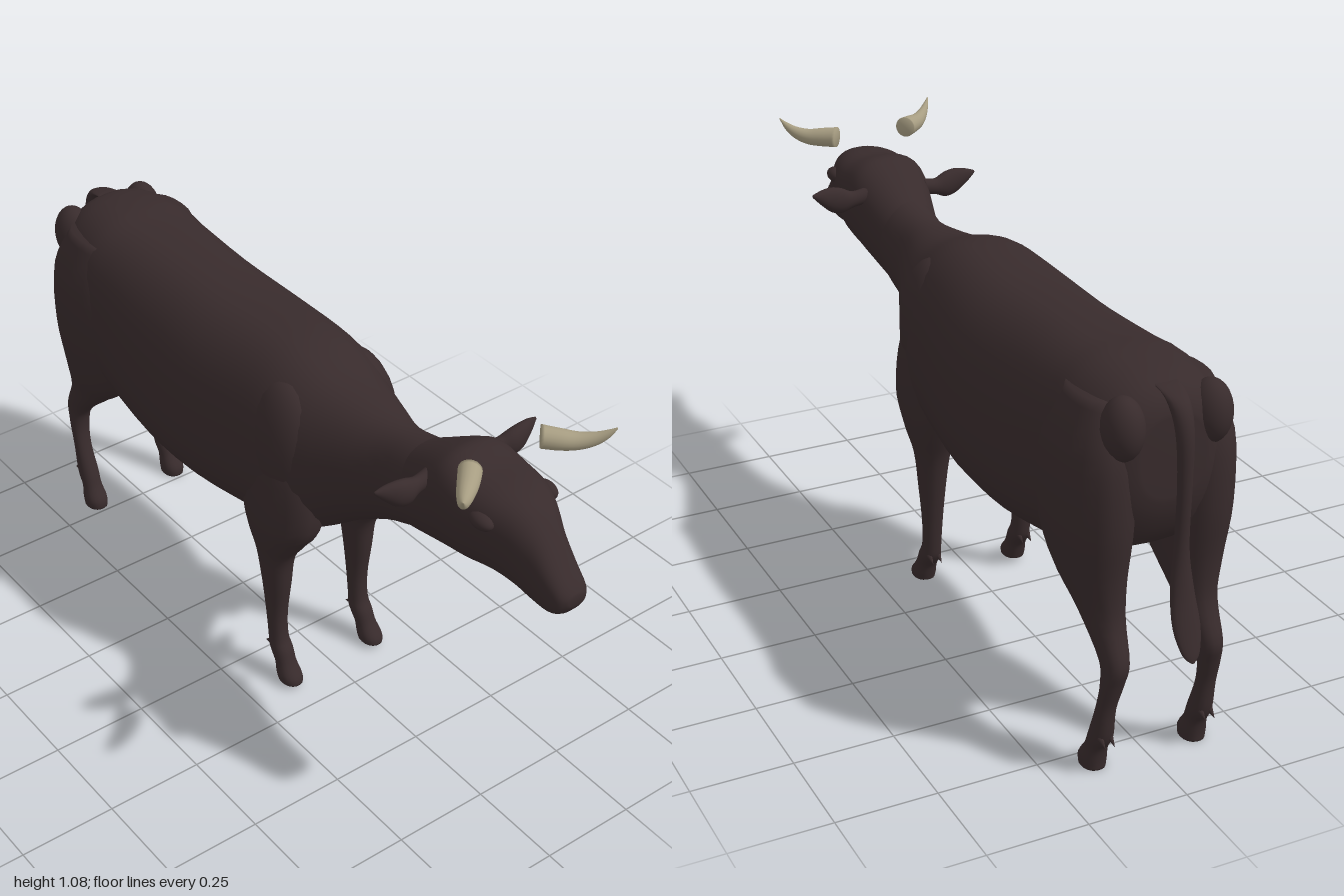
import * as THREE from 'three';

const hide = new THREE.MeshStandardMaterial({ name: 'darkHide', color: 0x382b2c });
const horn = new THREE.MeshStandardMaterial({ name: 'hornBone', color: 0xa79d82 });

const X = new THREE.Vector3(1, 0, 0), Y = new THREE.Vector3(0, 1, 0), Z = new THREE.Vector3(0, 0, 1);

// Catmull-Rom subdivision of rows of numbers
function smooth(rows, steps) {
  const out = [];
  for (let i = 0; i < rows.length - 1; i++) {
    const a = rows[Math.max(i - 1, 0)], b = rows[i], c = rows[i + 1], d = rows[Math.min(i + 2, rows.length - 1)];
    for (let s = 0; s < steps; s++) {
      const t = s / steps;
      out.push(b.map((v, j) => v + 0.5 * t * (c[j] - a[j] + t * (2 * a[j] - 5 * v + 4 * c[j] - d[j]
        + t * (3 * (v - c[j]) + d[j] - a[j])))));
    }
  }
  out.push(rows[rows.length - 1]);
  return out;
}

// Closed skin through rings: { c, u, v, a, b, p, k }, p squares the outline, k widens the +v side
function loft(rings, sides = 28) {
  const pos = [], idx = [];
  for (const { c, u, v, a, b, p = 1, k = 0 } of rings) {
    for (let i = 0; i < sides; i++) {
      const t = (i / sides) * Math.PI * 2, co = Math.cos(t), si = Math.sin(t);
      const e = Math.sign(co) * Math.abs(co) ** p * Math.max(a, 0.001) * (1 + k * si);
      const f = Math.sign(si) * Math.abs(si) ** p * Math.max(b, 0.001);
      pos.push(c.x + u.x * e + v.x * f, c.y + u.y * e + v.y * f, c.z + u.z * e + v.z * f);
    }
  }
  const n = rings.length, first = rings[0], last = rings[n - 1];
  const dir = last.c.clone().sub(first.c);
  const flip = first.u.clone().cross(first.v).dot(dir) < 0;
  const tri = (a, b, c) => (flip ? idx.push(a, c, b) : idx.push(a, b, c));
  pos.push(...first.c.toArray(), ...last.c.toArray());
  for (let i = 0; i < sides; i++) {
    const j = (i + 1) % sides;
    for (let r = 0; r < n - 1; r++) {
      const o = r * sides, q = o + sides;
      tri(o + i, o + j, q + j);
      tri(o + i, q + j, q + i);
    }
    tri(n * sides, j, i);
    tri(n * sides + 1, (n - 1) * sides + i, (n - 1) * sides + j);
  }
  const g = new THREE.BufferGeometry();
  g.setAttribute('position', new THREE.Float32BufferAttribute(pos, 3));
  g.setIndex(idx);
  g.computeVertexNormals();
  return g;
}

// Tapered limb along a path of [x, y, z, radiusAcross, radiusAlong] rows, rings kept in the u-v plane
const limb = (rows, u, v, steps = 4, p = 1) => loft(smooth(rows, steps).map(([x, y, z, a, b]) =>
  ({ c: new THREE.Vector3(x, y, z), u, v, a, b, p })), 18);

export function createModel() {
  const cow = new THREE.Group();
  cow.name = 'cow';
  const add = (name, geometry, material = hide) => {
    const m = new THREE.Mesh(geometry, material);
    m.name = name;
    cow.add(m);
    return m;
  };
  const blob = (name, x, y, z, sx, sy, sz) => {
    const m = add(name, new THREE.SphereGeometry(1, 20, 14));
    m.position.set(x, y, z);
    m.scale.set(sx, sy, sz);
    return m;
  };
  const skin = (rows) => loft(smooth(rows, 3).map(([z, lo, hi, a, p, k]) =>
    ({ c: new THREE.Vector3(0, (lo + hi) / 2, z), u: X, v: Y, a, b: (hi - lo) / 2, p, k })), 36);

  // Trunk and neck: [z, bottom, top, halfWidth, squareness, topWidening]
  add('bodyAndNeck', skin([
    [-0.885, 0.70, 0.89, 0.08, 0.85, 0],
    [-0.87, 0.64, 0.93, 0.12, 0.85, 0],
    [-0.82, 0.56, 0.965, 0.165, 0.8, 0],
    [-0.7, 0.50, 0.98, 0.195, 0.75, -0.05],
    [-0.6, 0.465, 0.972, 0.2, 0.75, -0.08],
    [-0.4, 0.43, 0.965, 0.21, 0.78, -0.14],
    [-0.2, 0.435, 0.962, 0.217, 0.78, -0.14],
    [0, 0.455, 0.972, 0.198, 0.78, -0.12],
    [0.1, 0.465, 0.962, 0.188, 0.8, -0.1],
    [0.2, 0.51, 0.93, 0.162, 0.85, -0.08],
    [0.3, 0.585, 0.914, 0.12, 0.9, 0],
    [0.4, 0.645, 0.91, 0.085, 0.95, 0],
    [0.5, 0.69, 0.928, 0.085, 0.95, 0],
    [0.6, 0.73, 0.96, 0.07, 0.95, 0],
  ]));

  // Head, narrowing to the muzzle
  add('head', skin([
    [0.44, 0.68, 0.90, 0.065, 0.9, 0],
    [0.5, 0.688, 0.93, 0.083, 0.9, 0.06],
    [0.6, 0.715, 0.988, 0.104, 0.85, 0.14],
    [0.65, 0.727, 1.005, 0.108, 0.82, 0.16],
    [0.72, 0.742, 0.99, 0.11, 0.82, 0.18],
    [0.79, 0.754, 0.986, 0.097, 0.82, 0.2],
    [0.85, 0.745, 0.97, 0.074, 0.82, 0.2],
    [0.9, 0.735, 0.925, 0.057, 0.82, 0.1],
    [0.95, 0.738, 0.868, 0.05, 0.8, 0.05],
    [0.985, 0.76, 0.832, 0.042, 0.8, 0],
    [1, 0.785, 0.812, 0.022, 0.9, 0],
  ]));

  // Udder
  blob('udder', 0, 0.475, -0.47, 0.11, 0.068, 0.15);

  // Tail with a thicker brush at the end
  add('tail', limb([
    [0, 0.955, -0.83, 0.03, 0.02], [0, 0.935, -0.89, 0.026, 0.025], [0, 0.87, -0.925, 0.021, 0.02],
    [0, 0.75, -0.933, 0.017, 0.016], [0, 0.6, -0.93, 0.018, 0.016], [0, 0.5, -0.94, 0.028, 0.02],
    [0, 0.42, -0.965, 0.034, 0.016], [0, 0.365, -0.988, 0.022, 0.009], [0, 0.345, -0.998, 0.004, 0.002],
  ], X, Z));

  for (const [side, s] of [['left', 1], ['right', -1]]) {
    const mirror = (rows) => rows.map(([x, ...rest]) => [x * s, ...rest]);

    add(side + 'FrontLeg', limb(mirror([
      [0.10, 0.84, 0.08, 0.04, 0.06], [0.11, 0.7, 0.09, 0.075, 0.13], [0.125, 0.55, 0.105, 0.07, 0.13],
      [0.13, 0.47, 0.095, 0.058, 0.092], [0.13, 0.4, 0.085, 0.043, 0.056], [0.13, 0.3, 0.087, 0.033, 0.041],
      [0.13, 0.2, 0.087, 0.026, 0.028], [0.13, 0.13, 0.093, 0.024, 0.027], [0.13, 0.095, 0.105, 0.027, 0.033],
      [0.131, 0.06, 0.125, 0.026, 0.029], [0.132, 0.03, 0.142, 0.03, 0.036], [0.132, 0.012, 0.147, 0.028, 0.036],
    ]), X, Z, 4, 0.9));

    add(side + 'HindLeg', limb(mirror([
      [0.11, 0.92, -0.73, 0.05, 0.09], [0.125, 0.8, -0.725, 0.08, 0.15], [0.125, 0.64, -0.72, 0.085, 0.163],
      [0.122, 0.5, -0.735, 0.068, 0.132], [0.118, 0.4, -0.793, 0.045, 0.076], [0.12, 0.31, -0.862, 0.031, 0.043],
      [0.125, 0.25, -0.866, 0.027, 0.026], [0.13, 0.18, -0.85, 0.024, 0.021], [0.13, 0.1, -0.83, 0.027, 0.031],
      [0.131, 0.06, -0.812, 0.026, 0.028], [0.132, 0.025, -0.797, 0.031, 0.036], [0.132, 0, -0.795, 0.029, 0.036],
    ]), X, Z, 4, 0.9));

    // Pairs of dewclaws behind each fetlock
    for (const [leg, z] of [['Front', 0.07], ['Hind', -0.862]]) {
      for (const dx of [-0.012, 0.012]) {
        const claw = add(side + leg + 'Dewclaw', new THREE.ConeGeometry(0.01, 0.035, 8));
        claw.position.set(s * 0.131 + dx, 0.096, z);
        claw.rotation.x = -2.1;
      }
    }

    // Pin bone, shoulder muscle and brow
    blob(side + 'PinBone', s * 0.108, 0.87, -0.85, 0.048, 0.075, 0.055);
    blob(side + 'Shoulder', s * 0.105, 0.73, 0.1, 0.085, 0.19, 0.13);
    blob(side + 'Brow', s * 0.092, 0.925, 0.785, 0.022, 0.02, 0.035);

    // Leaf-shaped ear
    add(side + 'Ear', limb(mirror([
      [0.08, 0.925, 0.595, 0.02, 0.022], [0.12, 0.918, 0.597, 0.018, 0.022], [0.15, 0.918, 0.602, 0.022, 0.034],
      [0.18, 0.924, 0.602, 0.02, 0.034], [0.21, 0.935, 0.597, 0.013, 0.02], [0.234, 0.944, 0.593, 0.003, 0.004],
    ]), Z, Y));

    // Horn curving outward, forward and up
    const across = new THREE.Vector3(s * -0.65, 0, 0.76);
    add(side + 'Horn', limb(mirror([
      [0.1, 1.043, 0.748, 0.027, 0.027], [0.13, 1.039, 0.777, 0.025, 0.025], [0.16, 1.037, 0.803, 0.02, 0.021],
      [0.187, 1.045, 0.828, 0.014, 0.017], [0.207, 1.061, 0.848, 0.008, 0.011], [0.219, 1.079, 0.861, 0.002, 0.002],
    ]), across, Y), horn);
  }
  return cow;
}
